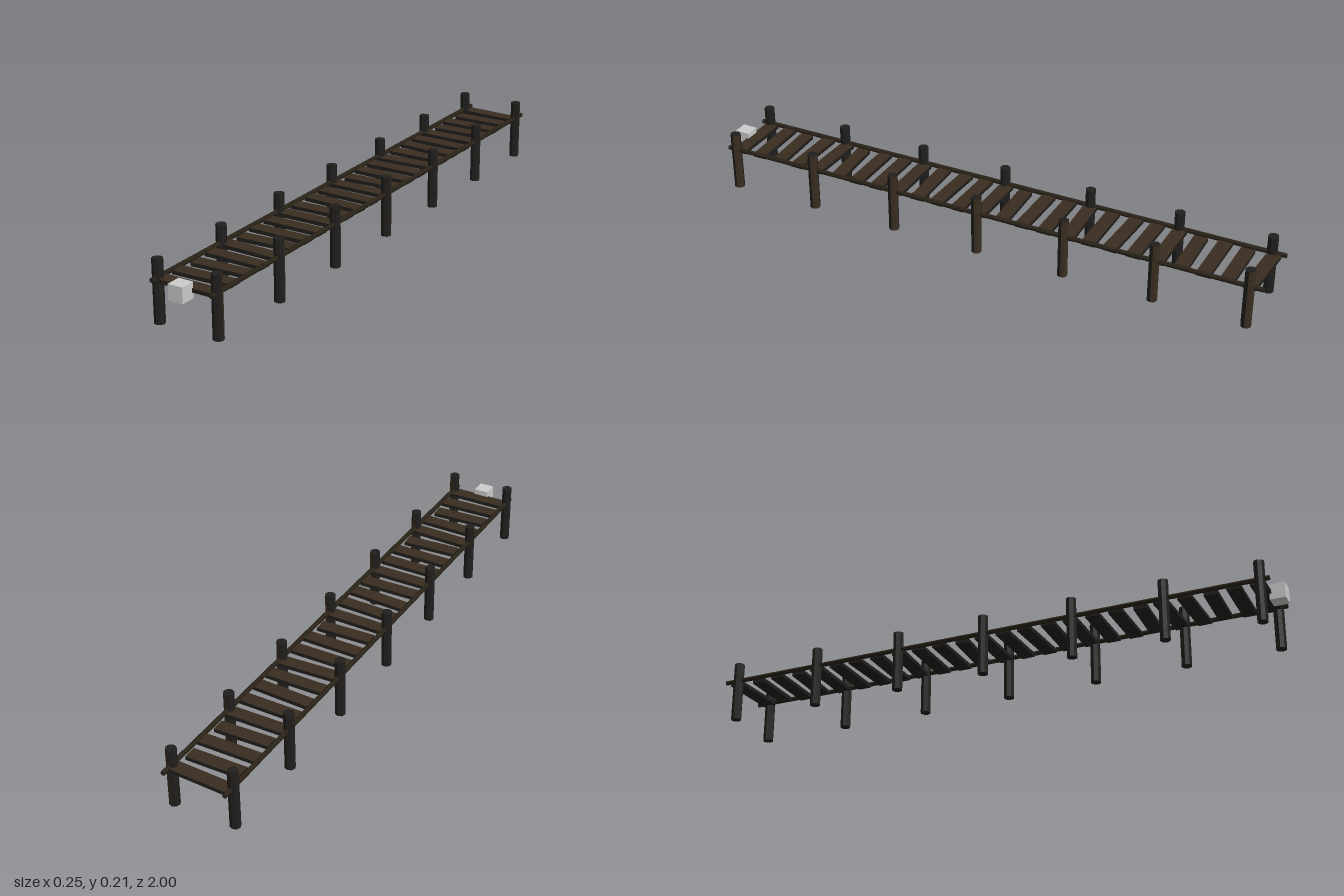
import * as THREE from 'three';

export function createModel() {
  const pier = new THREE.Group();
  pier.name = 'pier';
  const mat = (name, color, flatShading = true) => {
    const m = new THREE.MeshStandardMaterial({ color, flatShading });
    m.name = name;
    return m;
  };
  const darkWood = mat('dark wood', 0x201f1d);
  const brownWood = mat('brown wood', 0x3a2d20);
  const railWood = mat('rail wood', 0x282116);
  const stone = mat('pale grey', 0xcccccc);
  const add = (parent, name, geo, material, x, y, z) => {
    const m = new THREE.Mesh(geo, material);
    m.name = name;
    m.position.set(x, y, z);
    parent.add(m);
    return m;
  };

  // Seven pairs of posts; the left row has weathered outer faces at the back
  const R = 0.0178, H = 0.21, X = 0.1075;
  const wholePost = new THREE.CylinderGeometry(R, R, H, 8);
  const postCore = new THREE.CylinderGeometry(R, R, H, 6, 1, true, Math.PI, Math.PI * 1.5);
  const postWeathered = new THREE.CylinderGeometry(R, R, H, 2, 1, true, Math.PI / 2, Math.PI / 2);
  const cap = new THREE.CircleGeometry(R, 8);
  for (let i = 0; i < 7; i++) {
    const z = 0.942 - i * 0.3155;
    add(pier, 'rightPost', wholePost, darkWood, -X, H / 2, z);
    const post = new THREE.Group();
    post.name = 'leftPost';
    post.position.set(X, H / 2, z);
    add(post, 'postDarkSide', postCore, darkWood, 0, 0, 0);
    add(post, 'postWeatheredSide', postWeathered, brownWood, 0, 0, 0);
    add(post, 'postTop', cap, darkWood, 0, H / 2, 0).rotation.x = -Math.PI / 2;
    add(post, 'postBottom', cap, darkWood, 0, -H / 2, 0).rotation.x = Math.PI / 2;
    pier.add(post);
  }

  // Long rails running through the posts
  const railGeo = new THREE.CylinderGeometry(0.008, 0.008, 1.973, 8);
  for (const s of [-1, 1]) {
    add(pier, s > 0 ? 'leftRail' : 'rightRail', railGeo, railWood, s * X, 0.148, -0.0135).rotation.x = Math.PI / 2;
  }

  // Uneven deck planks, each turned a little (degrees), some of them short
  const turns = [-3, 0, 0, 1.5, 0, -1, -3, 0, 2.5, 0, -1, 2, -1, -2, -3, 1, 0, 0, 0, 3, -2, -1, 2.5, 1.5, 0];
  const short = new Set([1, 3, 11, 19, 22]);
  const plankMaterials = [darkWood, darkWood, brownWood, darkWood, darkWood, darkWood];
  turns.forEach((deg, i) => {
    const geo = new THREE.BoxGeometry(short.has(i) ? 0.19 : 0.21, 0.013, 0.047);
    const plank = add(pier, 'plank', geo, plankMaterials, 0, 0.141, -0.955 + i * 0.0786);
    plank.rotation.y = THREE.MathUtils.degToRad(deg);
  });

  // Small pale block at the front end
  add(pier, 'endBlock', new THREE.BoxGeometry(0.052, 0.053, 0.052), stone, 0, 0.1405, 0.974);
  return pier;
}
